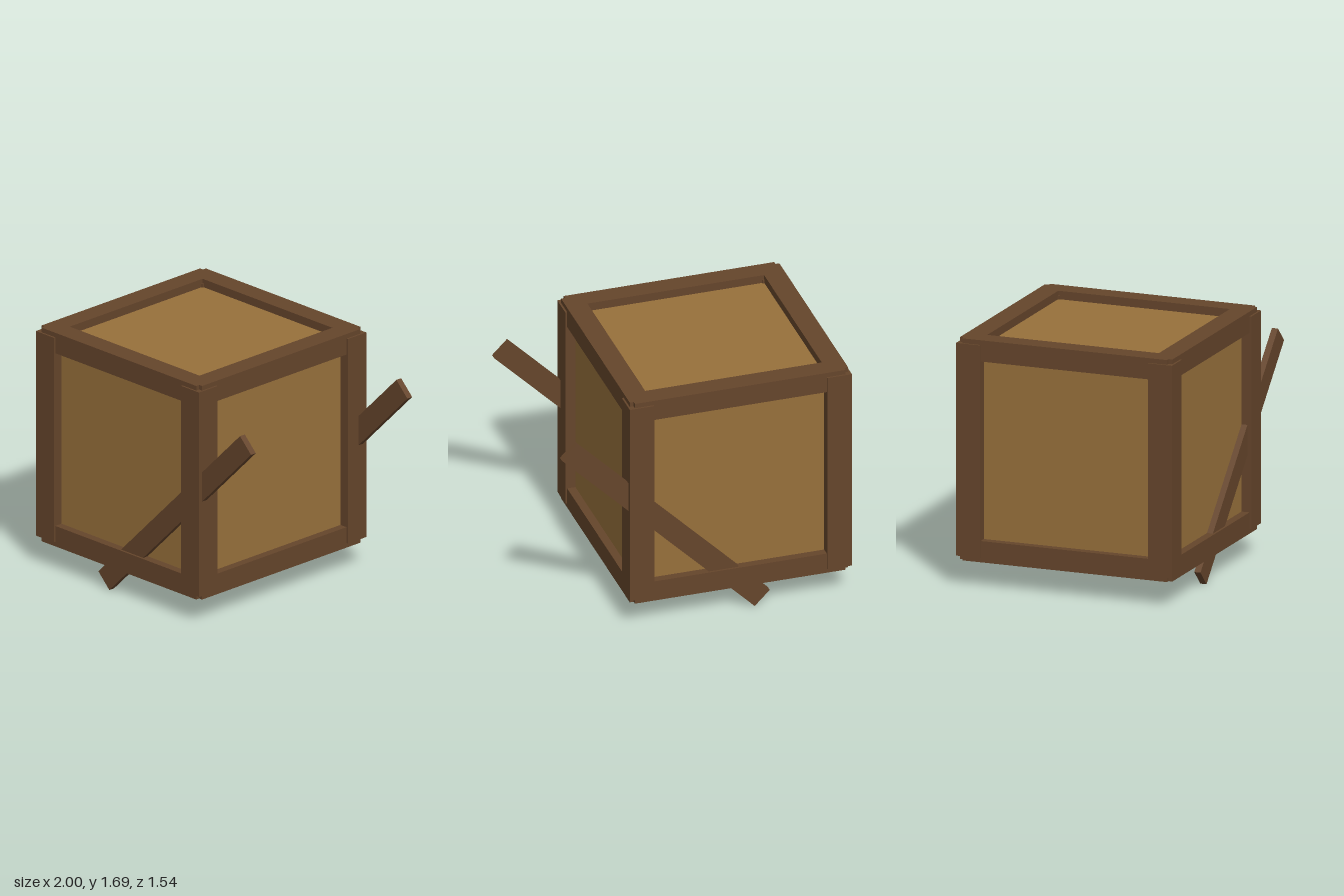
import * as THREE from 'three';

export function createModel() {
  const model = new THREE.Group();
  model.name = 'woodenCrate';

  const panelWood = new THREE.MeshStandardMaterial({ color: 0x97703b });
  panelWood.name = 'light panel wood';
  const frameWood = new THREE.MeshStandardMaterial({ color: 0x65452b });
  frameWood.name = 'dark frame wood';

  function addBox(parent, name, material, size, position) {
    const mesh = new THREE.Mesh(new THREE.BoxGeometry(...size), material);
    mesh.name = name;
    mesh.position.set(...position);
    parent.add(mesh);
    return mesh;
  }

  // The crate sits off-centre because the planks stick out to one side
  const crate = new THREE.Group();
  crate.name = 'crate';
  crate.position.set(-0.23, 0.935, 0);
  model.add(crate);

  // Inner box whose six faces are the recessed panels
  addBox(crate, 'panels', panelWood, [1.4, 1.4, 1.4], [0, 0, 0]);

  const beam = 0.145;            // beam thickness
  const offset = 0.757 - beam / 2; // beam centre from crate centre
  const beamLength = 1.46;

  for (const a of [-1, 1]) {
    for (const b of [-1, 1]) {
      // Corner posts, slightly thicker and shorter than the beams
      addBox(crate, 'cornerPost', frameWood, [0.17, 1.45, 0.17], [a * 0.685, 0, b * 0.685]);
      // Beams along the width and the depth, top and bottom
      addBox(crate, 'widthBeam', frameWood, [beamLength, beam, beam], [0, a * offset, b * offset]);
      addBox(crate, 'depthBeam', frameWood, [beam, beam, beamLength], [a * offset, b * offset, 0]);
    }
  }

  // Diagonal planks laid over the front and back panels
  for (const side of [1, -1]) {
    const name = side > 0 ? 'frontDiagonalPlank' : 'backDiagonalPlank';
    const plank = addBox(model, name, frameWood, [1.89, 0.147, 0.044], [0.281, 0.725, side * 0.72]);
    plank.rotation.z = Math.PI / 4;
  }

  return model;
}
